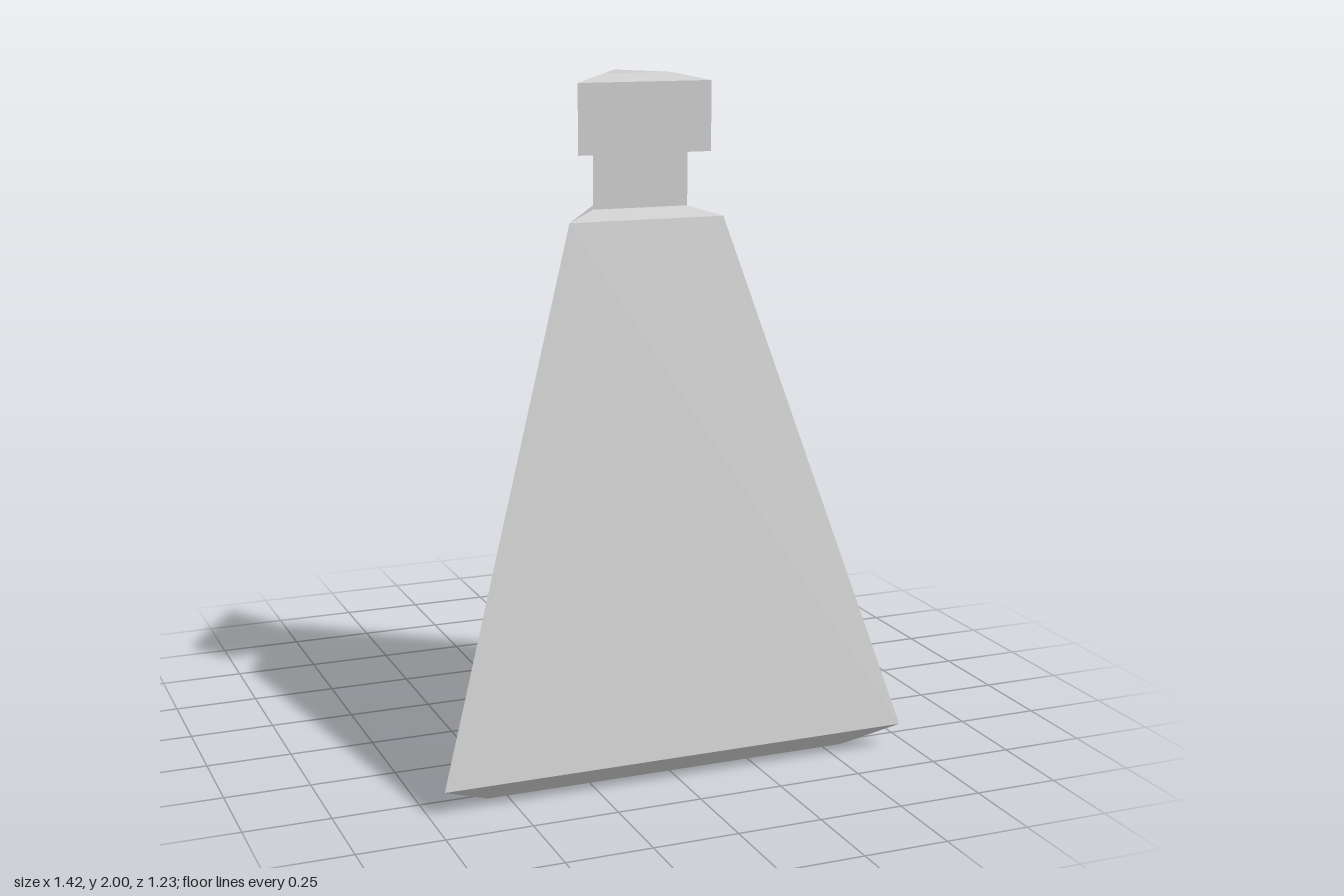
import * as THREE from 'three';

const material = new THREE.MeshStandardMaterial({ color: 0xcccccc, flatShading: true });

// Closed three-sided solid from [corner radius, height] levels, listed bottom to top
function triangularSolid(name, levels) {
  const profile = [[0, levels[0][1]], ...levels, [0, levels[levels.length - 1][1]]];
  const points = profile.map(([r, y]) => new THREE.Vector2(r, y));
  // One corner points to the back, one flat side faces the front
  const geometry = new THREE.LatheGeometry(points, 3, Math.PI).toNonIndexed();
  geometry.computeVertexNormals();
  const mesh = new THREE.Mesh(geometry, material);
  mesh.name = name;
  return mesh;
}

export function createModel() {
  const group = new THREE.Group();
  group.name = 'triangularBottle';

  // Tapered body with chamfered foot and sloped shoulder
  const body = triangularSolid('body', [[0.645, 0], [0.82, 0.075], [0.273, 1.592], [0.168, 1.62]]);

  // Straight neck
  const neck = triangularSolid('neck', [[0.168, 1.615], [0.168, 1.78]]);

  // Stopper with a shallow bevelled top
  const stopper = triangularSolid('stopper', [[0.235, 1.777], [0.235, 1.978], [0.118, 2]]);

  group.add(body, neck, stopper);
  // Centre the triangular footprint front to back
  group.position.z = 0.205;

  const model = new THREE.Group();
  model.add(group);
  return model;
}
